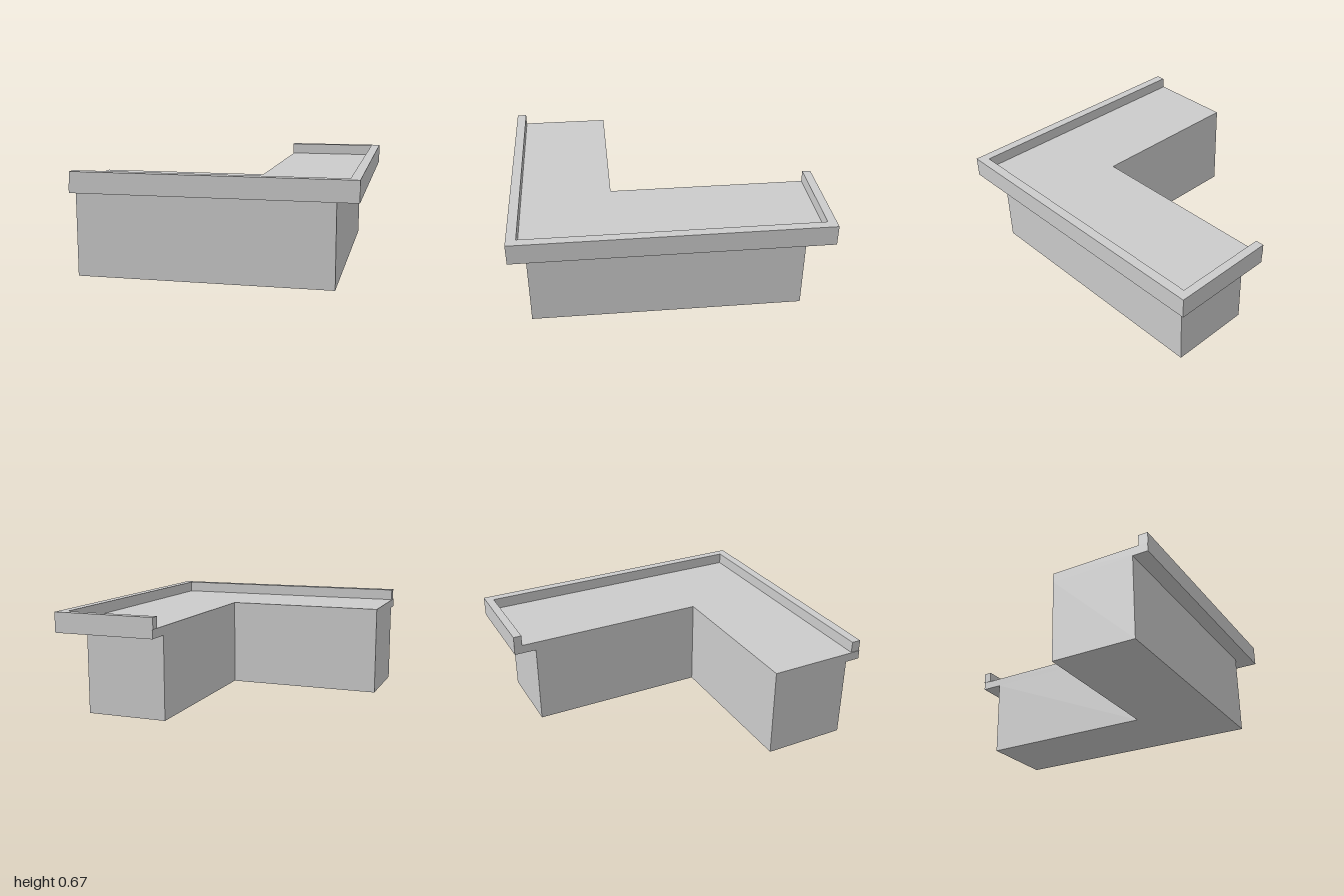
import * as THREE from 'three';

const material = new THREE.MeshStandardMaterial({ color: 0xcccccc, flatShading: true });

// Extrudes a floor-plan outline of [x, z] points from height y0 up to y1.
function plan(name, points, y0, y1) {
  const shape = new THREE.Shape(points.map(([x, z]) => new THREE.Vector2(x, -z)));
  const geometry = new THREE.ExtrudeGeometry(shape, { depth: y1 - y0, bevelEnabled: false });
  geometry.rotateX(-Math.PI / 2);
  geometry.translate(0, y0, 0);
  const mesh = new THREE.Mesh(geometry, material);
  mesh.name = name;
  return mesh;
}

// L-shaped outline sharing one inner corner and left end.
const LEFT = -0.875, INNER_X = 0.197, INNER_Z = 0.35;
const lShape = (right, back, front) => [
  [LEFT, front], [right, front], [right, back],
  [INNER_X, back], [INNER_X, INNER_Z], [LEFT, INNER_Z],
];

export function createModel() {
  const group = new THREE.Group();
  group.name = 'cornerCounter';

  // Body under the top, set back on the outer sides
  group.add(plan('counterBody', lShape(0.736, -0.853, 0.9), 0, 0.542));

  // Overhanging counter top
  group.add(plan('counterTop', lShape(0.875, -1, 1), 0.542, 0.6));

  // Raised rim along the front, right and back edges
  group.add(plan('raisedRim', [
    [-0.87, 1], [0.875, 1], [0.875, -1], [0.193, -1],
    [0.193, -0.945], [0.815, -0.945], [0.815, 0.938], [-0.87, 0.938],
  ], 0.6, 0.674));

  return group;
}
